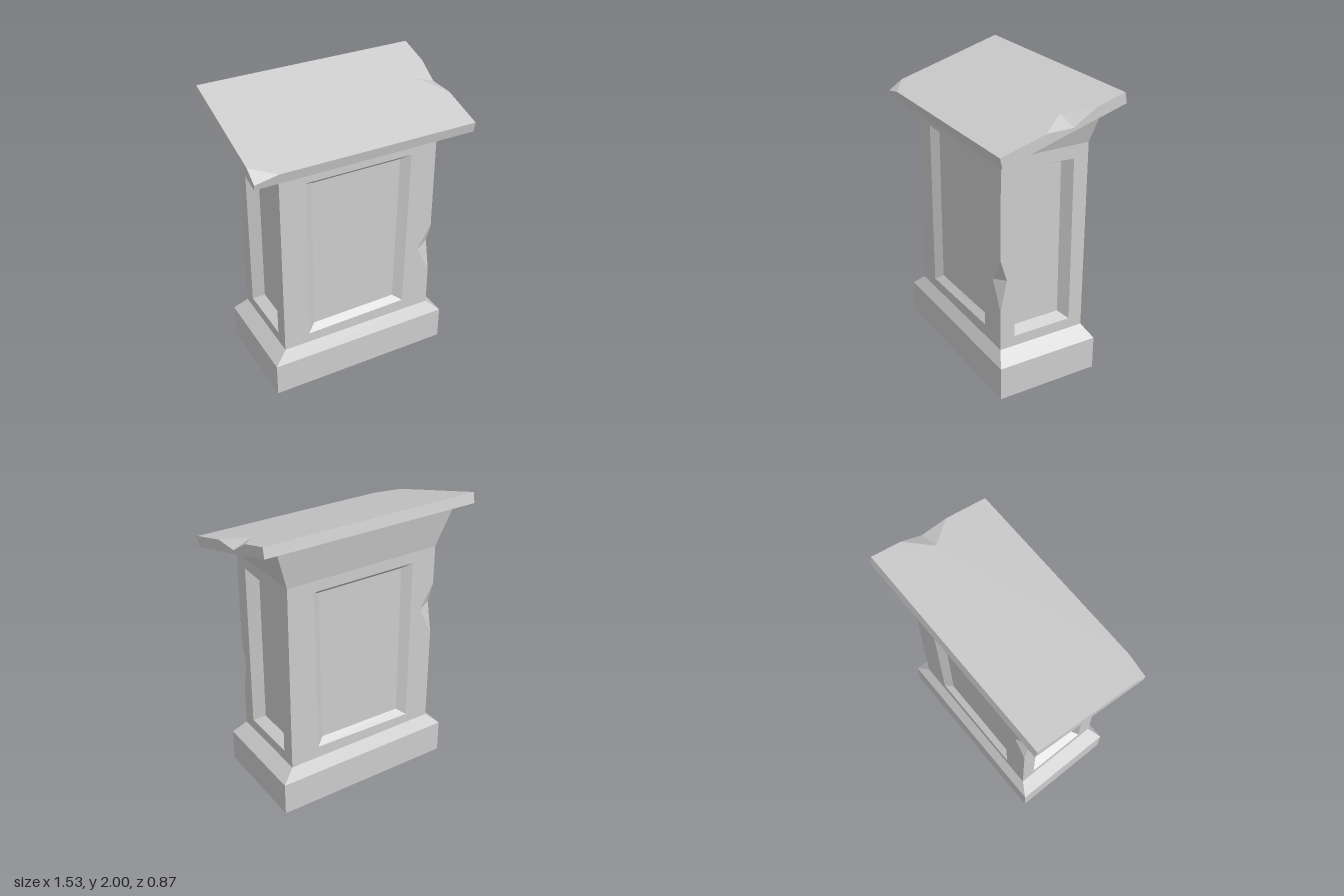
import * as THREE from 'three';

const material = new THREE.MeshStandardMaterial({ color: 0xcccccc, flatShading: true });

// Flat-sided mesh from polygons, each fanned from its first corner
function faceted(name, polygons) {
  const coords = [];
  for (const p of polygons)
    for (let i = 1; i < p.length - 1; i++) coords.push(...p[0], ...p[i], ...p[i + 1]);
  const geometry = new THREE.BufferGeometry();
  geometry.setAttribute('position', new THREE.Float32BufferAttribute(coords, 3));
  geometry.computeVertexNormals();
  const mesh = new THREE.Mesh(geometry, material);
  mesh.name = name;
  return mesh;
}

// Quads joining two loops of equal length
const bridge = (a, b) => a.map((p, i) => {
  const j = (i + 1) % a.length;
  return [p, a[j], b[j], b[i]];
});

// Rectangular section, free to differ in height from front to back
const section = (x, front, back, yFront, yBack = yFront) =>
  [[-x, yFront, front], [x, yFront, front], [x, yBack, back], [-x, yBack, back]];

const mirror = pts => pts.map(([u, v]) => [-u, v]).reverse();

// Wall with a bevelled sunken panel, facing +z before it is turned
function wall(name, outline, rim, floor, depth, distance, turn) {
  const group = new THREE.Group();
  group.name = name;
  const shape = new THREE.Shape(outline.map(p => new THREE.Vector2(...p)));
  shape.holes.push(new THREE.Path(rim.map(p => new THREE.Vector2(...p))));
  const frame = new THREE.Mesh(new THREE.ShapeGeometry(shape), material);
  frame.name = name + 'Frame';
  frame.position.z = distance;
  const outer = rim.map(([u, v]) => [u, v, distance]);
  const inner = floor.map(([u, v]) => [u, v, distance - depth]);
  group.add(frame, faceted(name + 'Panel', [...bridge(outer, inner), inner]));
  group.rotation.y = turn;
  return group;
}

function createBody() {
  const body = new THREE.Group();
  body.name = 'body';
  body.position.z = -0.005;
  const w = 0.56, d = 0.315, y0 = 0.315, y1 = 1.64;

  // Panel outlines, slightly out of square
  const wideRim = [[-0.38, 0.385], [0.355, 0.4], [0.375, 1.565], [-0.38, 1.565]];
  const wideFloor = [[-0.32, 0.43], [0.295, 0.44], [0.315, 1.53], [-0.32, 1.53]];
  const sideRim = [[-0.21, 0.39], [0.215, 0.39], [0.21, 1.55], [-0.21, 1.565]];
  const sideFloor = [[-0.165, 0.425], [0.17, 0.425], [0.165, 1.515], [-0.165, 1.53]];

  // Wall edges, notched where a corner is chipped; lift raises the chip
  const wideOutline = lift => [[-w, y0], [w, y0], [w, 0.6 + lift], [w - 0.1, 0.8 + lift],
    [w, 0.97 + lift], [w, y1], [-w, y1]];
  const sideOutline = lift => [[-d, y0], [d, y0], [d, y1], [-d, y1],
    [-d, 0.97 + lift], [-d + 0.045, 0.82 + lift], [-d, 0.6 + lift]];

  body.add(
    wall('frontWall', wideOutline(0), wideRim, wideFloor, 0.04, d, 0),
    wall('rightWall', sideOutline(0), sideRim, sideFloor, 0.075, w, Math.PI / 2),
    wall('backWall', wideOutline(0.4), mirror(wideRim), mirror(wideFloor), 0.04, d, Math.PI),
    wall('leftWall', sideOutline(0.4), mirror(sideRim), mirror(sideFloor), 0.075, w, -Math.PI / 2));

  // Chips on two opposite corners
  for (const [name, lift, turn] of [['frontChip', 0, 0], ['backChip', 0.4, Math.PI]]) {
    const top = [w, 0.97 + lift, d], bottom = [w, 0.6 + lift, d];
    const face = [w - 0.1, 0.8 + lift, d], side = [w, 0.82 + lift, d - 0.045];
    const chip = faceted(name, [[top, face, side], [face, bottom, side]]);
    chip.rotation.y = turn;
    body.add(chip);
  }
  return body;
}

// Sloping desk board with a broken corner and a notch in one edge
function createDeskTop() {
  const x = 0.765;
  const topY = z => 1.755 + (0.435 - z) * 0.2866;
  const onTop = (px, z) => [px, topY(z), z];
  const [flT, frT, brT, blT] = [null, onTop(x, 0.435), onTop(x, -0.42), onTop(-x, -0.42)];
  const [flB, frB, brB, blB] = section(x, 0.42, -0.435, 1.685, 1.93);
  // Broken corner
  const a = onTop(-x, 0.33), b = onTop(-0.61, 0.435), c = [-x, 1.72, 0.427];
  // Edge notch
  const n1 = onTop(x, 0.13), n = onTop(0.63, -0.05), n2 = onTop(x, -0.21), s = [x, 1.845, -0.06];
  return faceted('deskTop', [
    [n, n2, brT, blT, a, b, frT, n1],
    [s, n1, frT, frB, brB, brT, n2],
    [b, c, flB, frB, frT],
    [brT, brB, blB, blT],
    [blT, blB, flB, c, a],
    [flB, blB, brB, frB],
    [a, c, b],
    [n1, s, n],
    [n, s, n2],
  ]);
}

export function createModel() {
  const model = new THREE.Group();
  model.name = 'lectern';

  // Plinth with a sloped shoulder
  const foot = section(0.65, 0.36, -0.37, 0);
  const ledge = section(0.65, 0.36, -0.37, 0.235);
  const shoulder = section(0.56, 0.31, -0.32, 0.315);
  model.add(faceted('plinth', [[...foot].reverse(), ...bridge(foot, ledge), ...bridge(ledge, shoulder)]));

  model.add(createBody());

  // Flared neck that meets the sloping board
  const neck = section(0.56, 0.31, -0.32, 1.64);
  const collar = section(0.65, 0.36, -0.37, 1.703, 1.912);
  model.add(faceted('neck', bridge(neck, collar)));

  model.add(createDeskTop());
  return model;
}
